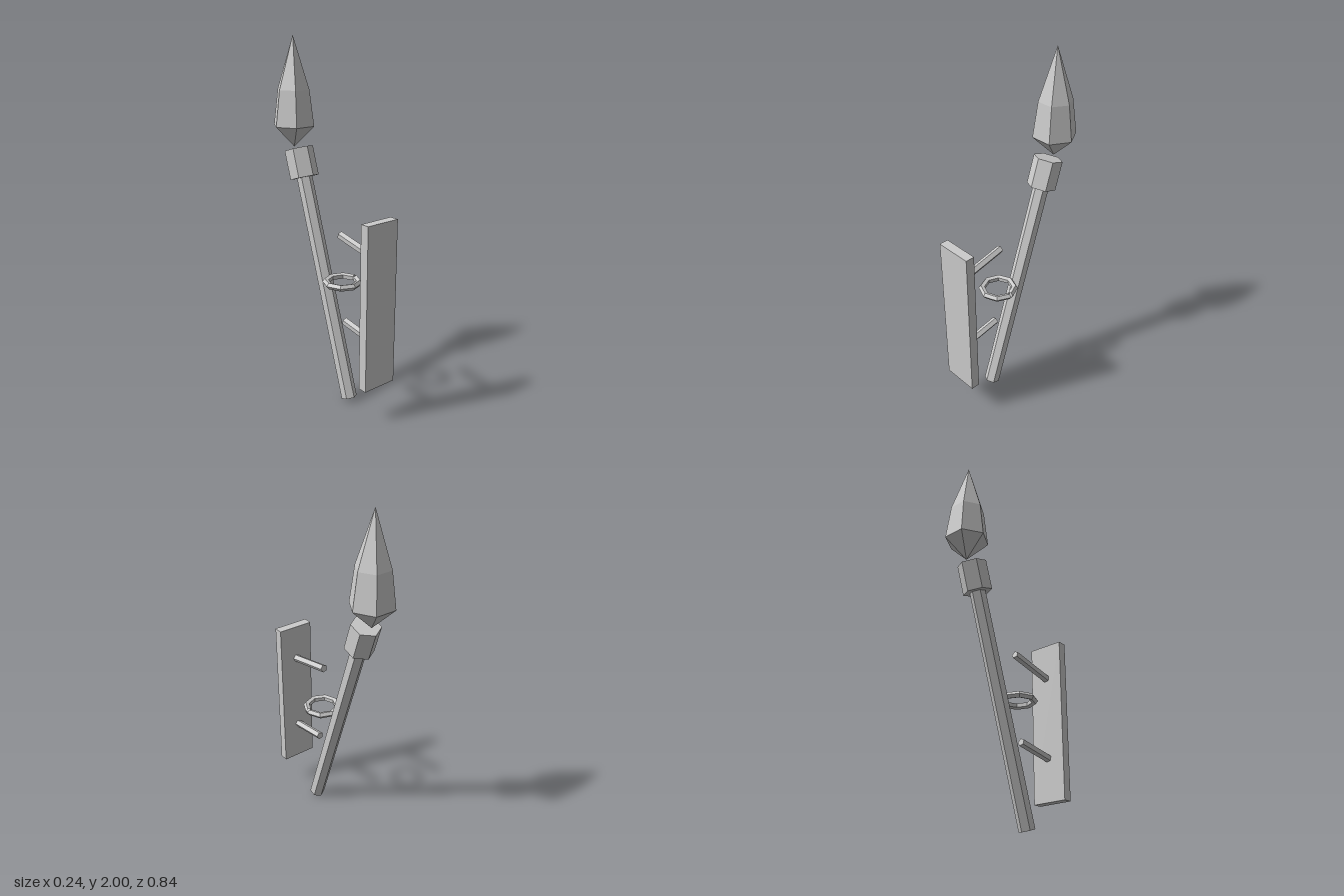
import * as THREE from 'three';

const rad = THREE.MathUtils.degToRad;

export function createModel() {
  const model = new THREE.Group();
  model.name = 'wallTorch';
  const grey = new THREE.MeshStandardMaterial({ color: 0xcccccc });
  grey.name = 'light grey';
  grey.flatShading = true;
  grey.side = THREE.DoubleSide;

  const add = (parent, name, geometry, x, y, z) => {
    const mesh = new THREE.Mesh(geometry, grey);
    mesh.name = name;
    mesh.position.set(x, y, z);
    parent.add(mesh);
    return mesh;
  };

  // Wall plate
  add(model, 'wallPlate', new THREE.BoxGeometry(0.206, 0.92, 0.052), 0, 0.648, 0.394);

  // Five-sided pegs rising from the plate
  const addPeg = (name, y0, y1, z1) => {
    const z0 = 0.37;
    const length = Math.hypot(y1 - y0, z0 - z1);
    const geometry = new THREE.CylinderGeometry(0.022, 0.022, length, 5, 1, false, rad(12));
    const peg = add(model, name, geometry, 0, (y0 + y1) / 2, (z0 + z1) / 2);
    peg.rotation.x = -Math.atan2(z0 - z1, y1 - y0);
  };
  addPeg('upperPeg', 0.902, 0.963, 0.09);
  addPeg('lowerPeg', 0.43, 0.47, 0.135);

  // Holding ring with a small gap on its left
  const gap = 0.12;
  const ringGeometry = new THREE.TorusGeometry(0.0925, 0.0185, 5, 8, Math.PI * 2 - gap);
  ringGeometry.rotateZ(gap / 2);
  const ring = add(model, 'holdingRing', ringGeometry, 0, 0.697, 0.11);
  ring.rotation.x = Math.PI / 2;

  // Leaning torch: hexagonal shaft and collar
  const torch = new THREE.Group();
  torch.name = 'torch';
  torch.position.set(0, 0.0135, 0.175);
  torch.rotation.x = -rad(18);
  model.add(torch);
  add(torch, 'shaft', new THREE.CylinderGeometry(0.044, 0.044, 1.29, 6), 0, 0.645, 0);
  add(torch, 'collar', new THREE.CylinderGeometry(0.081, 0.081, 0.165, 6), 0, 1.36, 0);

  // Upright flame
  const profile = [[0, 1.39], [0.122, 1.51], [0.095, 1.71], [0, 2]]
    .map(([r, y]) => new THREE.Vector2(r, y));
  const flame = add(model, 'flame', new THREE.LatheGeometry(profile, 6), 0, 0, -0.313);
  flame.rotation.y = Math.PI / 6;

  return model;
}
